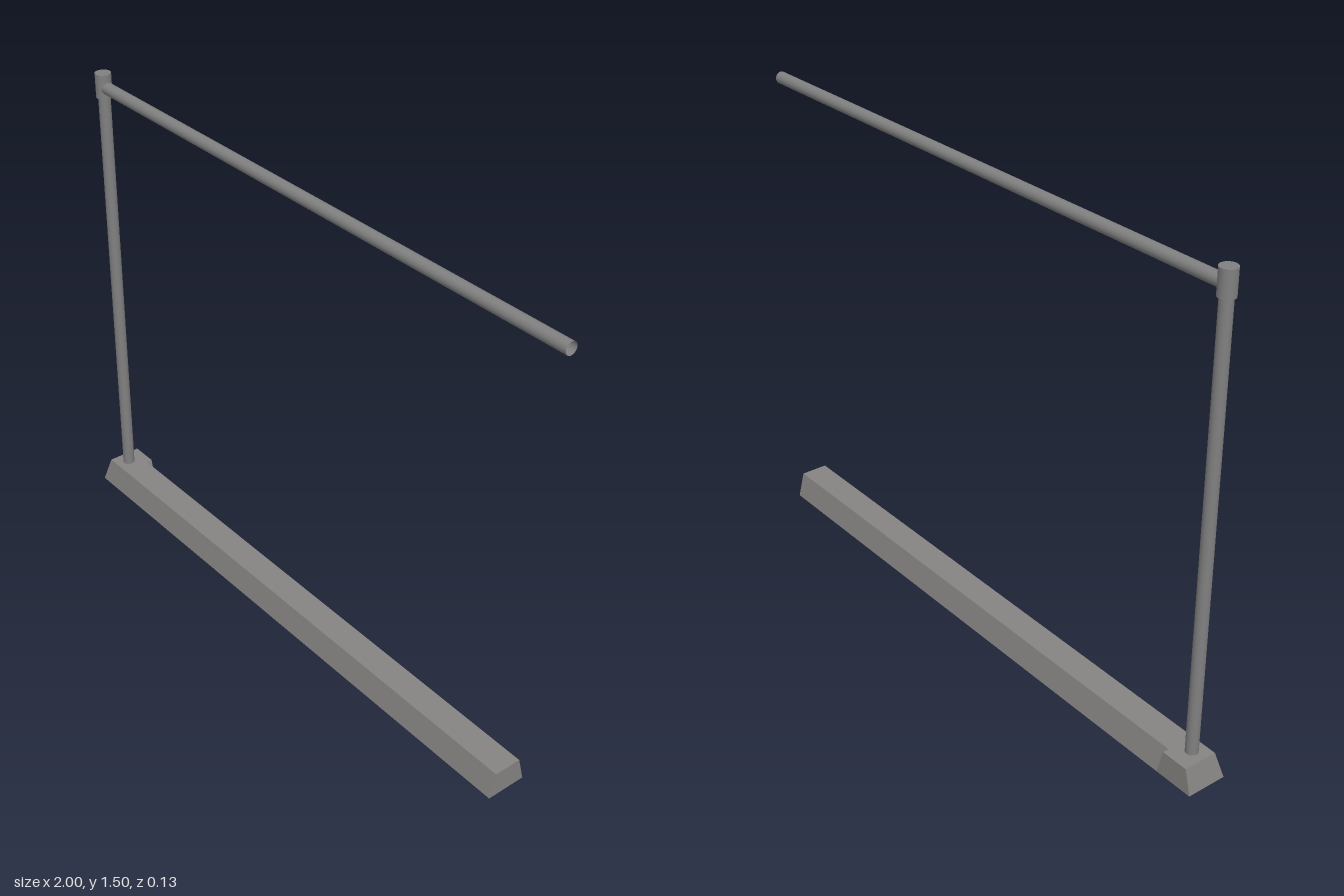
import * as THREE from 'three';

const POST_X = -0.936;

// Curb: a trapezoid profile swept round a mitred corner
function curbGeometry() {
  const profile = [[0.064, 0], [0.044, 0.08], [-0.044, 0.08], [-0.064, 0]];
  const sections = [
    profile.map(([o, y]) => [POST_X - o, y, -0.064]), // cut end of the short return
    profile.map(([o, y]) => [POST_X - o, y, o]),      // mitre
    profile.map(([o, y]) => [0.93, y, o]),            // far end
  ];
  const positions = [];
  const quad = (a, b, c, d) => positions.push(...a, ...b, ...c, ...a, ...c, ...d);
  for (let s = 0; s < 2; s++) {
    for (let j = 0; j < 4; j++) {
      const k = (j + 1) % 4;
      quad(sections[s][j], sections[s + 1][j], sections[s + 1][k], sections[s][k]);
    }
  }
  const [start, , end] = sections;
  quad(start[0], start[1], start[2], start[3]);
  quad(end[0], end[3], end[2], end[1]);
  const geometry = new THREE.BufferGeometry();
  geometry.setAttribute('position', new THREE.Float32BufferAttribute(positions, 3));
  geometry.computeVertexNormals();
  return geometry;
}

export function createModel() {
  const concrete = new THREE.MeshStandardMaterial({ color: 0x868482 });
  concrete.name = 'concrete';
  const steel = new THREE.MeshStandardMaterial({ color: 0x808080, side: THREE.DoubleSide });
  steel.name = 'steel';

  const model = new THREE.Group();
  model.name = 'railing';
  const add = (name, geometry, material) => {
    const mesh = new THREE.Mesh(geometry, material);
    mesh.name = name;
    model.add(mesh);
    return mesh;
  };

  add('curb', curbGeometry(), concrete);

  // Upright post
  add('post', new THREE.CylinderGeometry(0.019, 0.019, 1.38, 20, 1, true), steel)
    .position.set(POST_X, 0.76, 0);

  // Fitting that joins post and rail
  add('connector', new THREE.CylinderGeometry(0.025, 0.025, 0.077, 20), steel)
    .position.set(POST_X, 1.4655, 0);

  // Top rail, an open tube
  const rail = add('rail', new THREE.CylinderGeometry(0.019, 0.019, 1 - POST_X, 20, 1, true), steel);
  rail.rotation.z = Math.PI / 2;
  rail.position.set((1 + POST_X) / 2, 1.46, 0);

  return model;
}
